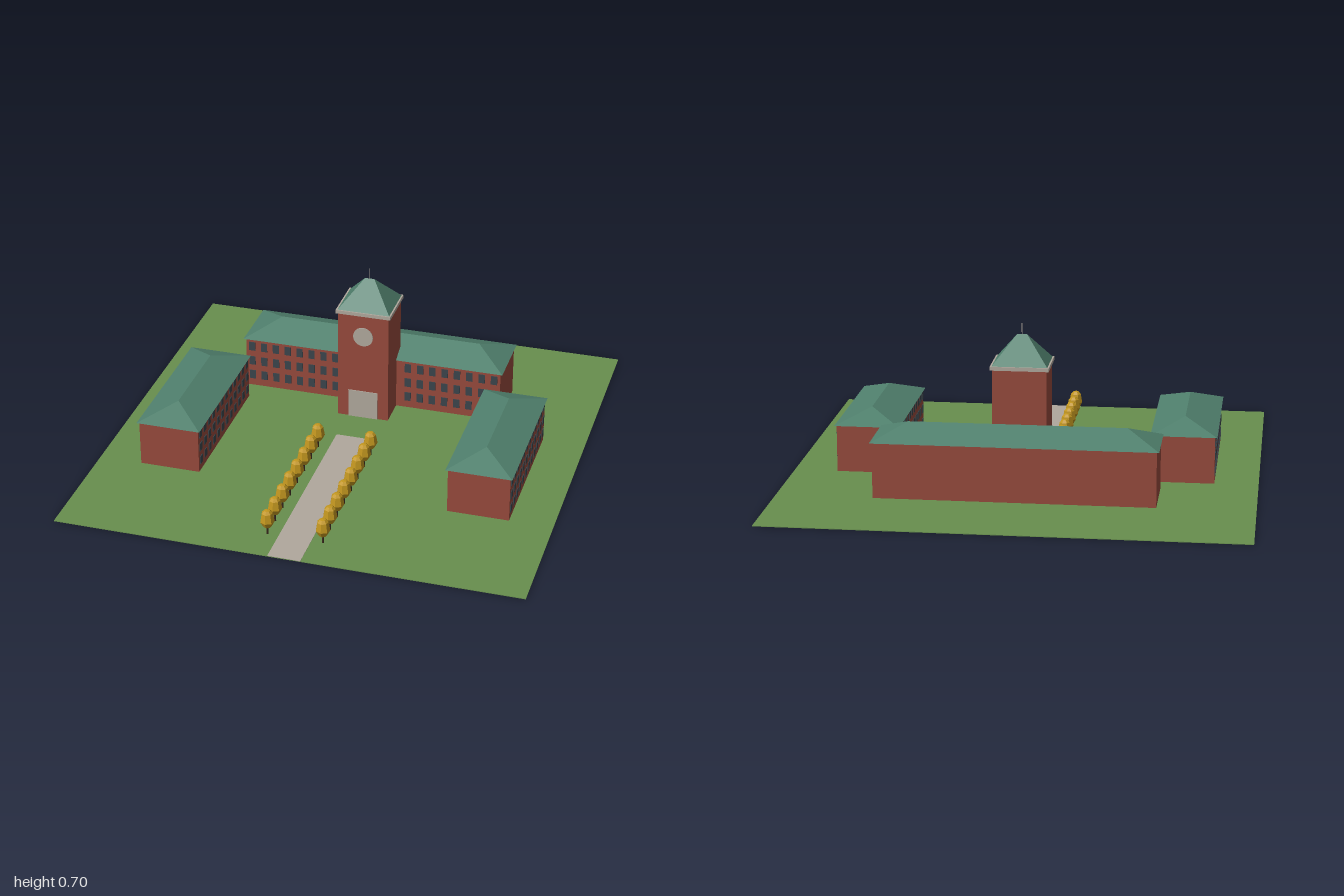
import * as THREE from 'three';

const mat = (name, color, flat = false) => {
  const m = new THREE.MeshStandardMaterial({ color, flatShading: flat });
  m.name = name;
  return m;
};

export function createModel() {
  const brick = mat('brick', 0x964a3c);
  const copper = mat('greenRoof', 0x50806d, true);
  const grass = mat('grass', 0x688f4e);
  const stone = mat('paleStone', 0xb0a89d);
  const glass = mat('windowGlass', 0x3b454c);
  const leaf = mat('goldenFoliage', 0xc2961f, true);
  const bark = mat('bark', 0x3c2b1f);

  const model = new THREE.Group();
  model.name = 'campus';

  const add = (parent, name, geo, material, x = 0, y = 0, z = 0) => {
    const mesh = new THREE.Mesh(geo, material);
    mesh.name = name;
    mesh.position.set(x, y, z);
    parent.add(mesh);
    return mesh;
  };

  // Box standing on the given y
  const block = (parent, name, material, w, h, d, x = 0, y = 0, z = 0) =>
    add(parent, name, new THREE.BoxGeometry(w, h, d), material, x, y + h / 2, z);

  // Hipped roof: a box whose top is pinched to a ridge of rx by rz half-lengths
  const hipRoof = (parent, name, w, h, d, rx, rz, y) => {
    const geo = new THREE.BoxGeometry(w, h, d).toNonIndexed();
    const p = geo.attributes.position;
    for (let i = 0; i < p.count; i++) {
      if (p.getY(i) > 0) p.setXYZ(i, Math.sign(p.getX(i)) * rx, h / 2, Math.sign(p.getZ(i)) * rz);
    }
    geo.computeVertexNormals();
    return add(parent, name, geo, copper, 0, y + h / 2, 0);
  };

  // Lawn and path
  block(model, 'lawn', grass, 2, 0.003, 2, 0, 0.0006, 0);
  block(model, 'path', stone, 0.14, 0.003, 0.987, 0, 0.002, 0.5065);

  // Main hall
  const hall = new THREE.Group();
  hall.name = 'mainHall';
  hall.position.set(0, 0, -0.44);
  model.add(hall);
  block(hall, 'hallWalls', brick, 1.18, 0.241, 0.27);
  hipRoof(hall, 'hallRoof', 1.2, 0.061, 0.29, 0.46, 0, 0.241);
  for (let i = -10; i <= 10; i++) {
    if (Math.abs(i) < 3) continue; // covered by the tower
    for (const y of [0.059, 0.131, 0.204])
      add(hall, 'hallWindow', new THREE.BoxGeometry(0.029, 0.042, 0.006), glass, i * 1.18 / 21, y, 0.135);
  }

  // Clock tower
  const tower = new THREE.Group();
  tower.name = 'clockTower';
  tower.position.set(0, 0, -0.268);
  model.add(tower);
  block(tower, 'towerWalls', brick, 0.23, 0.514, 0.206);
  block(tower, 'cornice', stone, 0.248, 0.016, 0.22, 0, 0.514);
  hipRoof(tower, 'towerRoof', 0.234, 0.118, 0.207, 0.021, 0, 0.53);
  add(tower, 'spire', new THREE.CylinderGeometry(0.002, 0.002, 0.055, 6), stone, 0, 0.668, 0);
  const clock = add(tower, 'clockFace', new THREE.CylinderGeometry(0.045, 0.045, 0.006, 24), stone, 0, 0.411, 0.104);
  clock.rotation.x = Math.PI / 2;
  block(tower, 'door', stone, 0.134, 0.136, 0.006, 0, 0, 0.104);

  // Side wings, windowed on both long walls
  for (const side of [-1, 1]) {
    const wing = new THREE.Group();
    wing.name = side > 0 ? 'leftWing' : 'rightWing';
    wing.position.set(side * 0.68, 0, 0.135);
    model.add(wing);
    block(wing, 'wingWalls', brick, 0.265, 0.207, 0.677);
    hipRoof(wing, 'wingRoof', 0.284, 0.055, 0.696, 0, 0.207, 0.207);
    for (const face of [-1, 1])
      for (let i = 0; i < 12; i++)
        for (const y of [0.053, 0.117, 0.181])
          add(wing, 'wingWindow', new THREE.BoxGeometry(0.006, 0.037, 0.029), glass,
            face * 0.1325, y, (i - 5.5) * 0.677 / 12);
  }

  // Two rows of trees along the path
  const crown = new THREE.LatheGeometry(
    [[0, 0.033], [0.017, 0.04], [0.031, 0.066], [0.024, 0.105], [0.013, 0.117], [0, 0.119]]
      .map(([r, y]) => new THREE.Vector2(r, y)), 7);
  const trunk = new THREE.CylinderGeometry(0.004, 0.005, 0.045, 6);
  for (const side of [-1, 1])
    for (let i = 0; i < 8; i++) {
      const tree = new THREE.Group();
      tree.name = 'tree';
      tree.position.set(side * 0.119, 0, 0.134 + i * 0.1015);
      add(tree, 'trunk', trunk, bark, 0, 0.0225, 0);
      add(tree, 'crown', crown, leaf);
      model.add(tree);
    }

  return model;
}
